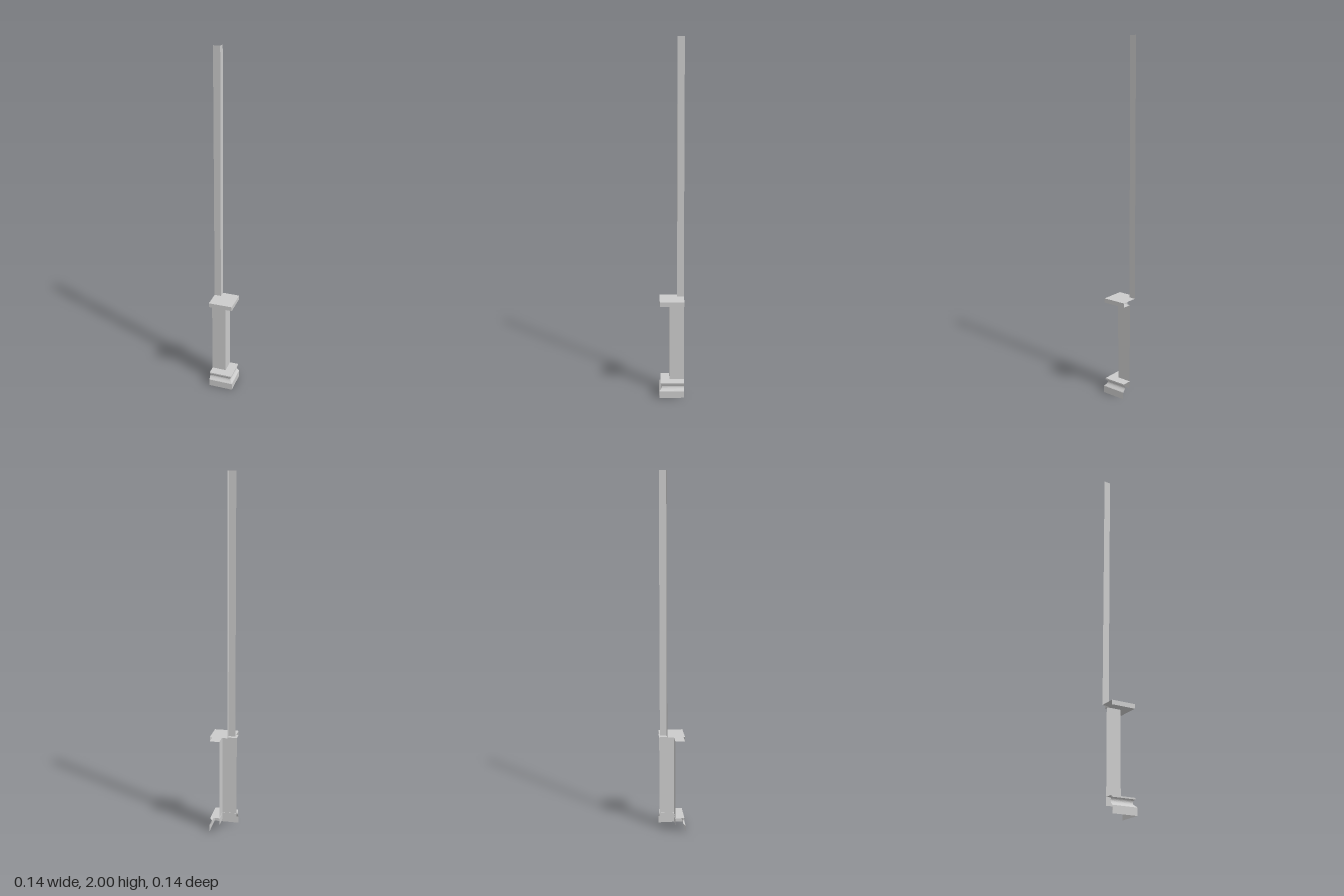
import * as THREE from 'three';

const EDGE = -0.071; // the two open sides of the quarter column

// Sweeps a profile of [reach, height] points around the column's outer corner.
function cornerShell(name, profile) {
  const path = ([r, y]) => [[EDGE, y, r], [r, y, r], [r, y, EDGE]];
  const positions = [];
  for (let i = 0; i < profile.length - 1; i++) {
    const low = path(profile[i]);
    const high = path(profile[i + 1]);
    for (let j = 0; j < 2; j++) {
      positions.push(...low[j], ...low[j + 1], ...high[j + 1]);
      positions.push(...low[j], ...high[j + 1], ...high[j]);
    }
  }
  const geometry = new THREE.BufferGeometry();
  geometry.setAttribute('position', new THREE.Float32BufferAttribute(positions, 3));
  geometry.computeVertexNormals();
  const material = new THREE.MeshStandardMaterial({ color: 0xcccccc, side: THREE.DoubleSide });
  const mesh = new THREE.Mesh(geometry, material);
  mesh.name = name;
  return mesh;
}

export function createModel() {
  const group = new THREE.Group();
  group.name = 'cornerColumn';

  // Base moulding: plinth, concave cove, lip and flat top, open underneath
  const cove = new THREE.CubicBezierCurve(
    new THREE.Vector2(0.069, 0.043),
    new THREE.Vector2(0.052, 0.057),
    new THREE.Vector2(0.050, 0.068),
    new THREE.Vector2(0.064, 0.080)
  ).getPoints(10).map((p) => [p.x, p.y]);
  group.add(cornerShell('baseMoulding', [[0.071, 0], [0.071, 0.04], ...cove, [0.064, 0.088], [0.01, 0.088]]));

  // Pedestal, reaching down inside the base
  group.add(cornerShell('pedestal', [[0.012, 0.045], [0.012, 0.547]]));

  // Cap slab around the foot of the post
  group.add(cornerShell('cap', [[0.012, 0.547], [0.066, 0.547], [0.066, 0.572], [-0.033, 0.572]]));

  // Tall slender post
  group.add(cornerShell('post', [[-0.033, 0.572], [-0.033, 2]]));

  return group;
}
